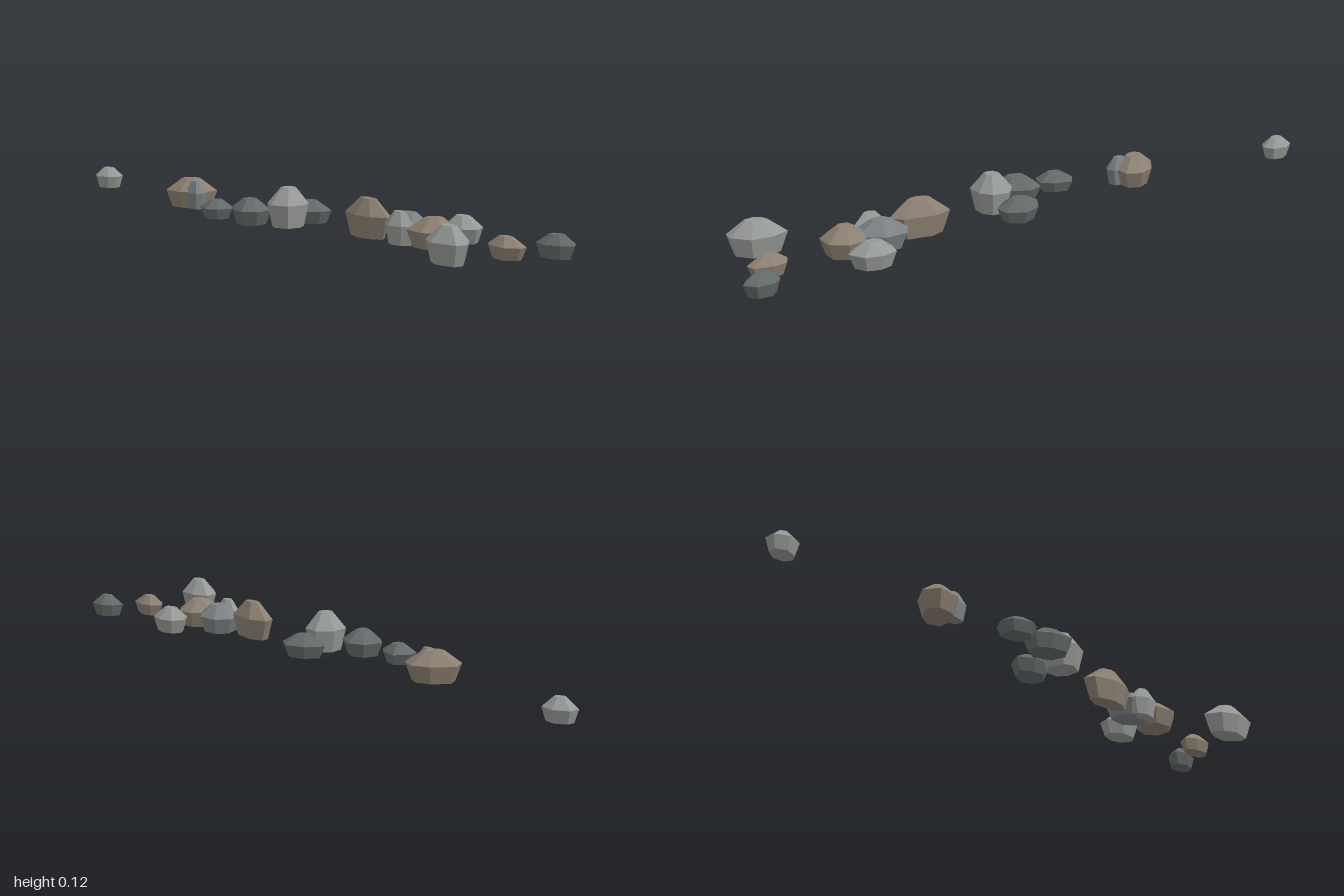
import * as THREE from 'three';

const SIDES = 7;
const COLORS = { light: 0x969a96, mid: 0x7b8284, dark: 0x646a69, brown: 0x8c8072 };

// Footprint and height of each stone: x0, x1, z0, z1, height, skew, tone
const STONES = [
  [0.035, 0.115, -1.0, -0.9, 0.065, 0, 'light'],
  [-0.055, 0.075, -0.5, -0.355, 0.088, -0.2, 'brown'],
  [-0.04, 0.013, -0.42, -0.34, 0.085, 0, 'mid'],
  [-0.14, -0.035, -0.245, -0.13, 0.055, 0.2, 'dark'],
  [-0.145, -0.015, -0.112, 0.027, 0.073, 0.2, 'dark'],
  [-0.102, 0.02, 0.018, 0.133, 0.115, 0, 'light'],
  [0.008, 0.123, -0.02, 0.122, 0.065, -0.1, 'dark'],
  [-0.035, 0.05, 0.273, 0.455, 0.11, 0.3, 'brown'],
  [-0.035, 0.085, 0.425, 0.58, 0.083, 0.2, 'mid'],
  [-0.05, 0.013, 0.462, 0.572, 0.092, 0, 'light'],
  [-0.055, 0.077, 0.545, 0.68, 0.083, 0, 'brown'],
  [0.093, 0.187, 0.535, 0.67, 0.074, 0.1, 'light'],
  [-0.188, -0.087, 0.725, 0.885, 0.1, 0.35, 'light'],
  [-0.01, 0.062, 0.8, 0.922, 0.06, 0.1, 'brown'],
  [0.097, 0.175, 0.885, 1.0, 0.064, -0.1, 'dark'],
];

function seeded(seed) {
  return () => {
    seed = (seed * 16807) % 2147483647;
    return seed / 2147483647;
  };
}

// Stone profile: narrow flat foot, wide waist, small flat cap
const PROFILE = [[0, 0], [0.76, 0], [1, 0.58], [0.36, 1], [0, 1]]
  .map(([r, y]) => new THREE.Vector2(r, y));

function stoneGeometry([x0, x1, z0, z1, height, skew], index) {
  const random = seeded(index * 7919 + 101);
  const phase = random() * Math.PI * 2;
  const ring = Array.from({ length: SIDES }, (_, i) => {
    const a = phase + (i + (random() - 0.5) * 0.3) / SIDES * Math.PI * 2;
    const r = 0.88 + random() * 0.24;
    return { x: r * (Math.sin(a) - skew * Math.cos(a)), z: r * Math.cos(a) };
  });
  // Fit the irregular waist exactly into its footprint
  const fit = (key, lo, hi) => {
    const values = ring.map((p) => p[key]);
    const min = Math.min(...values), scale = (hi - lo) / (Math.max(...values) - min);
    return { scale, centre: lo - min * scale };
  };
  const fx = fit('x', x0, x1), fz = fit('z', z0, z1);

  const geometry = new THREE.LatheGeometry(PROFILE, SIDES);
  const pos = geometry.attributes.position;
  for (let v = 0; v < pos.count; v++) {
    const corner = ring[Math.floor(v / PROFILE.length) % SIDES];
    const { x: r, y } = PROFILE[v % PROFILE.length];
    pos.setXYZ(v, fx.centre + corner.x * r * fx.scale, y * height, fz.centre + corner.z * r * fz.scale);
  }
  geometry.computeVertexNormals();
  return geometry;
}

export function createModel() {
  const group = new THREE.Group();
  group.name = 'stoneTrail';
  const materials = {};
  for (const [tone, color] of Object.entries(COLORS)) {
    materials[tone] = new THREE.MeshStandardMaterial({ color, flatShading: true, roughness: 1 });
  }
  STONES.forEach((stone, i) => {
    const mesh = new THREE.Mesh(stoneGeometry(stone, i), materials[stone[6]]);
    mesh.name = `stone${i + 1}`;
    group.add(mesh);
  });
  return group;
}
